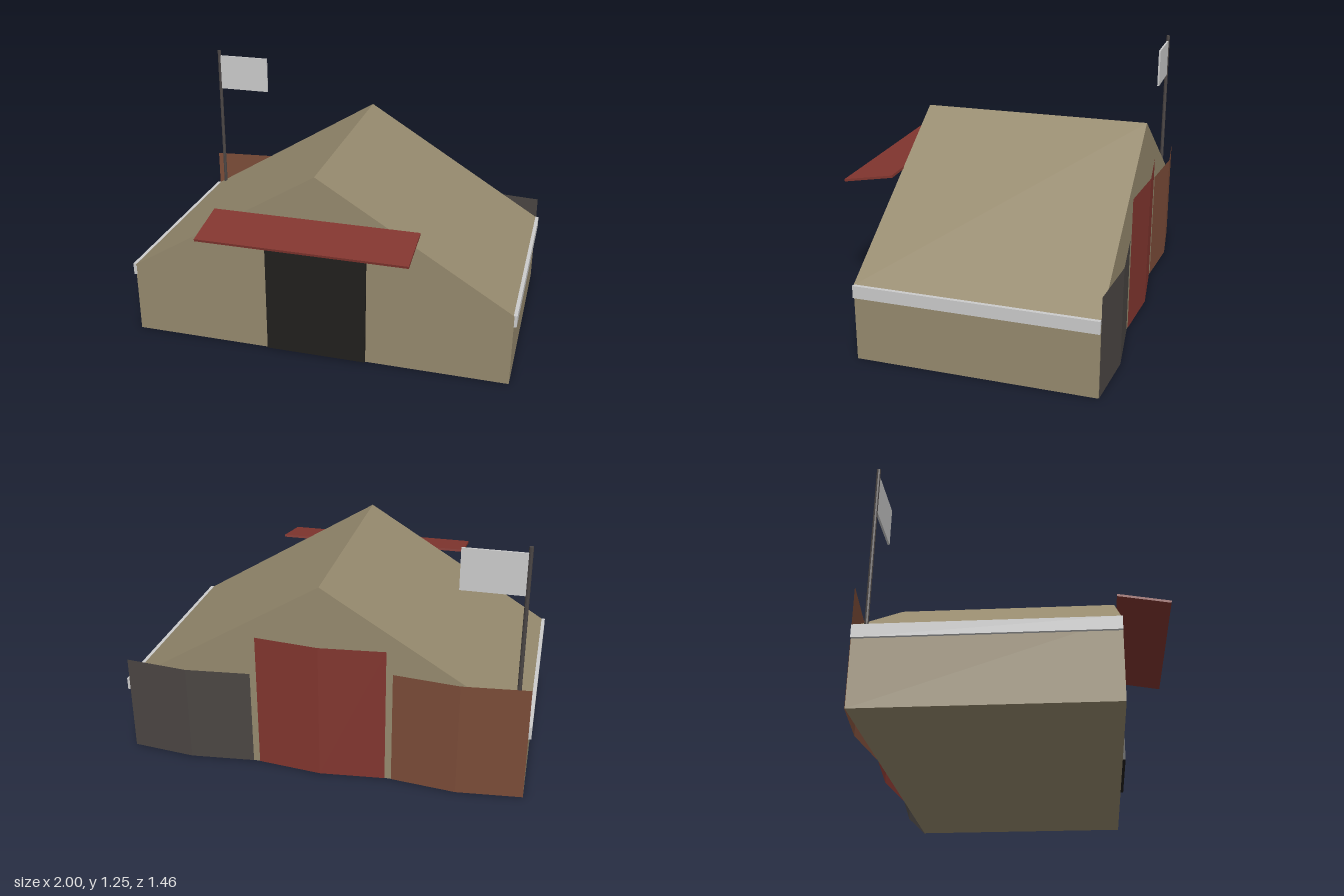
import * as THREE from 'three';

const BACK = -0.695, FRONT = 0.469;

function material(color, side = THREE.FrontSide) {
  return new THREE.MeshStandardMaterial({ color, side, flatShading: true });
}

export function createModel() {
  const model = new THREE.Group();
  model.name = 'hall';

  function add(name, geometry, mat, x = 0, y = 0, z = 0) {
    const mesh = new THREE.Mesh(geometry, mat);
    mesh.name = name;
    mesh.position.set(x, y, z);
    model.add(mesh);
    return mesh;
  }

  const plaster = material(0x968a6e);
  const red = material(0x82362f);
  const metal = material(0xcccccc);

  // Gabled building, extruded from front wall to back wall
  const gable = new THREE.Shape([
    [-0.986, 0], [0.986, 0], [0.986, 0.383], [0, 0.986], [-0.986, 0.383],
  ].map(([x, y]) => new THREE.Vector2(x, y)));
  const depth = FRONT - BACK;
  add('building', new THREE.ExtrudeGeometry(gable, { depth, bevelEnabled: false }), plaster, 0, 0, BACK);

  // Gutters along both eaves
  for (const side of [-1, 1]) {
    add(side > 0 ? 'leftGutter' : 'rightGutter',
      new THREE.BoxGeometry(0.018, 0.062, depth), metal, side * 0.991, 0.355, (FRONT + BACK) / 2);
  }

  // Door and the sloping awning over it
  add('door', new THREE.BoxGeometry(0.52, 0.636, 0.028), material(0x211f1d), 0, 0.322, FRONT);
  const awning = add('awning', new THREE.BoxGeometry(1.04, 0.012, 0.265), red, 0, 0.732, 0.598);
  awning.rotation.x = 0.178;

  // Flagpole and flag
  add('flagpole', new THREE.CylinderGeometry(0.01, 0.01, 0.865, 8), material(0x4a4544), -0.927, 0.8175, -0.648);
  add('flag', new THREE.BoxGeometry(0.292, 0.2, 0.01), metal, -0.776, 1.12, -0.648);

  // Thin panels on the back wall, each folded outward along its middle
  const panels = [
    ['darkPanel', 0.668, 0.495, 0x4b4643],
    ['redPanel', 0, 0.695, 0x82362f],
    ['brownPanel', -0.668, 0.58, 0x7b4c38],
  ];
  for (const [name, x, height, color] of panels) {
    const sheet = new THREE.PlaneGeometry(0.636, height, 2, 1);
    sheet.rotateY(Math.PI);
    const p = sheet.attributes.position;
    for (let i = 0; i < p.count; i++) {
      p.setZ(i, Math.abs(p.getX(i)) < 0.01 ? -0.033 : 0);
    }
    sheet.computeVertexNormals();
    add(name, sheet, material(color, THREE.DoubleSide), x, height / 2, BACK - 0.002);
  }

  return model;
}
